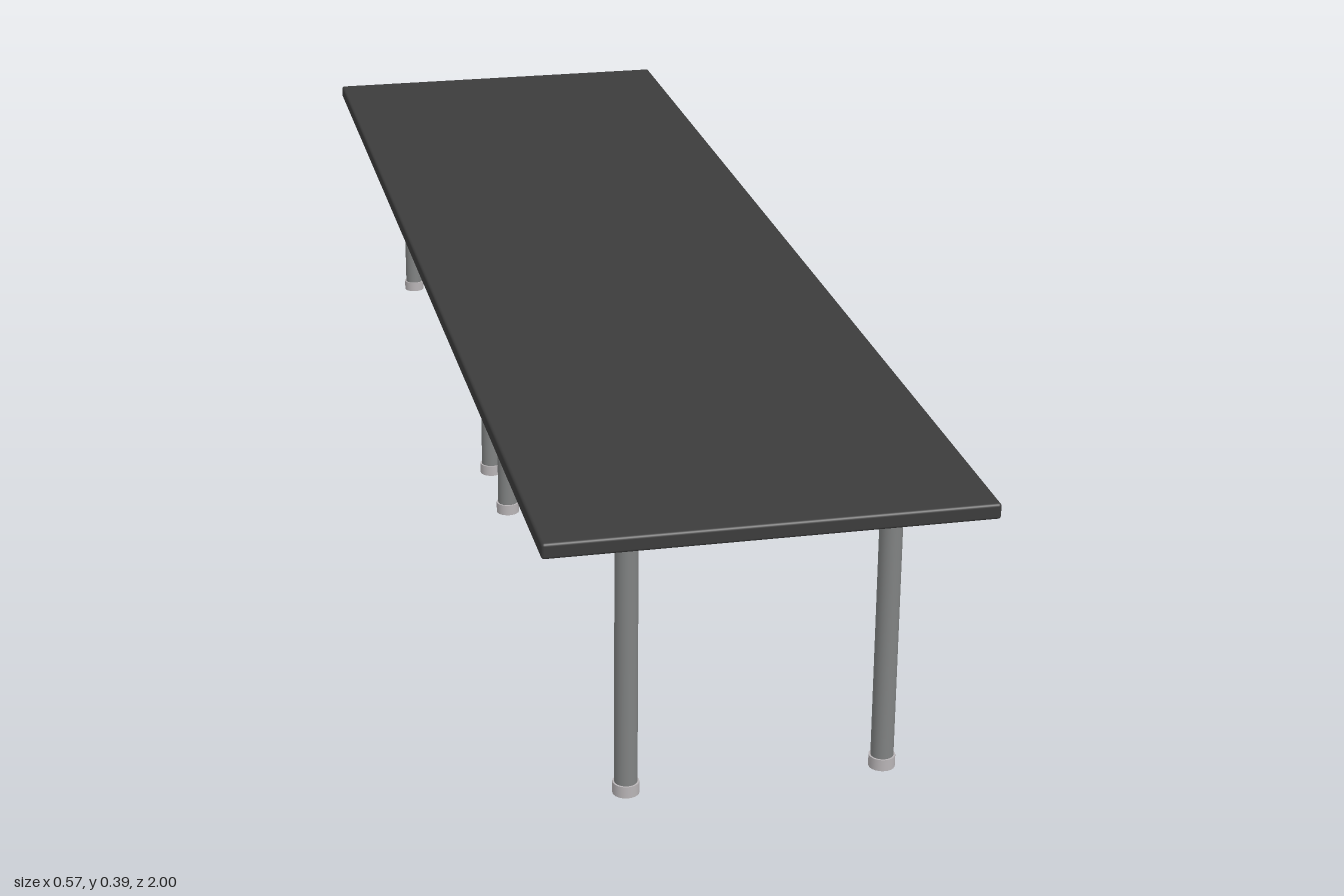
import * as THREE from 'three';
import { RoundedBoxGeometry } from 'three/addons/geometries/RoundedBoxGeometry.js';

const TOP_Y = 0.388, TOP_THICK = 0.021, LEG_X = 0.168;
const LEG_Z = [0.93, 0.06, -0.093, -0.963];

function material(name, color) {
  const m = new THREE.MeshStandardMaterial({ color });
  m.name = name;
  return m;
}

export function createModel() {
  const model = new THREE.Group();
  model.name = 'longTable';
  const charcoal = material('charcoal', 0x3c3c3c);
  const steel = material('steel grey', 0x808282);
  const pale = material('pale grey', 0xb8b4b6);

  function add(parent, name, geometry, mat, y) {
    const mesh = new THREE.Mesh(geometry, mat);
    mesh.name = name;
    mesh.position.y = y;
    parent.add(mesh);
  }

  // Slab with softly rounded edges
  add(model, 'tableTop', new RoundedBoxGeometry(0.572, TOP_THICK, 2, 3, 0.004), charcoal, TOP_Y - TOP_THICK / 2);

  // Round post and levelling foot, shared by all eight legs
  const footH = 0.016;
  const postH = TOP_Y - TOP_THICK - footH + 0.002;
  const post = new THREE.CylinderGeometry(0.0148, 0.0148, postH, 24);
  const foot = new THREE.CylinderGeometry(0.0172, 0.0172, footH, 24);

  // Two rows of four legs: one at each end, a pair near the middle
  for (const x of [-LEG_X, LEG_X]) {
    for (const z of LEG_Z) {
      const leg = new THREE.Group();
      leg.name = 'leg';
      leg.position.set(x, 0, z);
      add(leg, 'post', post, steel, footH + postH / 2);
      add(leg, 'foot', foot, pale, footH / 2);
      model.add(leg);
    }
  }
  return model;
}
